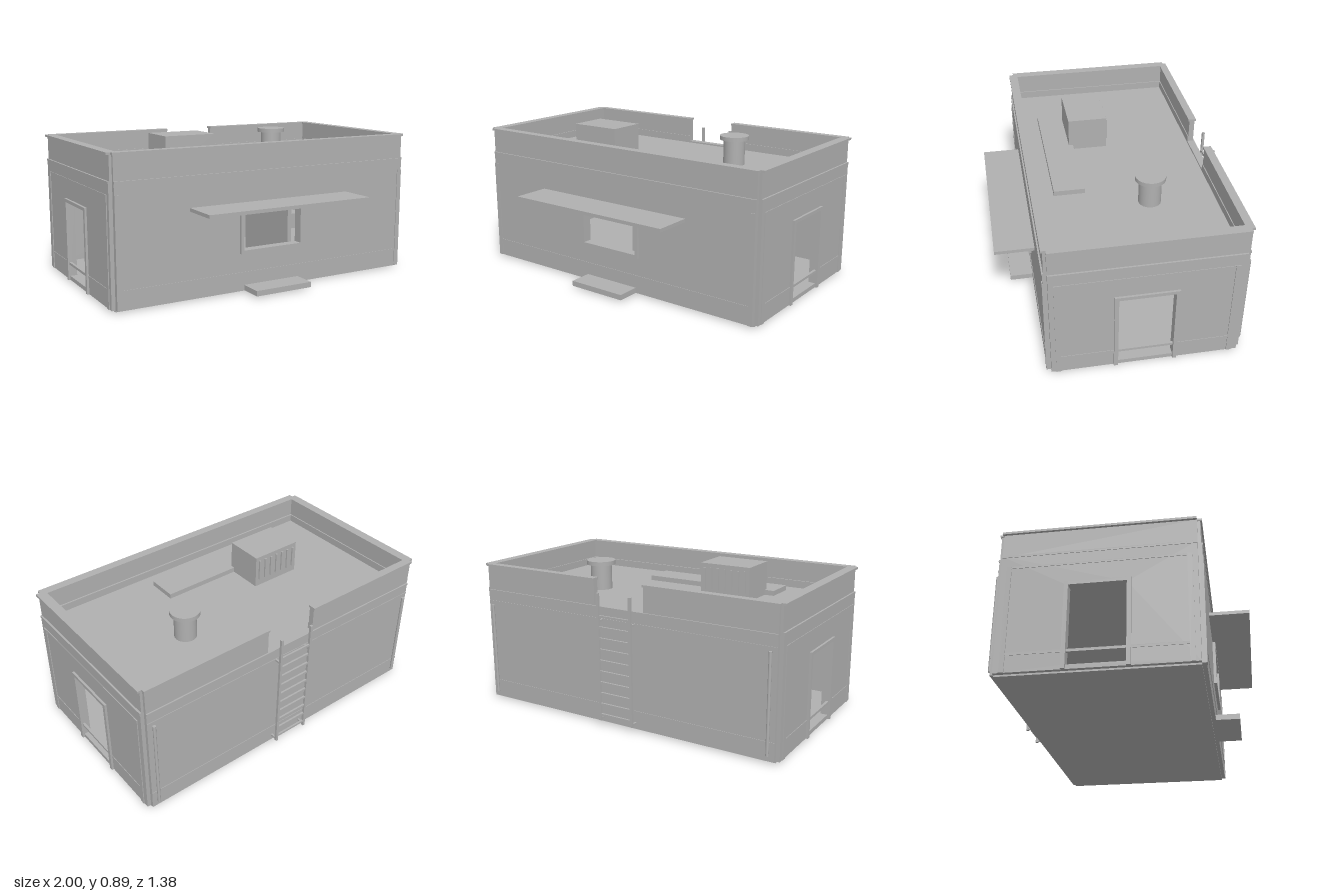
import * as THREE from 'three';

export function createModel() {
  const model = new THREE.Group();
  model.name = 'smallFlatRoofBuilding';
  const grey = new THREE.MeshStandardMaterial({ color: 0xb0b0b0 });
  grey.name = 'plain grey';

  const add = (name, geometry) => {
    const mesh = new THREE.Mesh(geometry, grey);
    mesh.name = name;
    model.add(mesh);
    return mesh;
  };
  // Box given by its limits on each axis
  const box = (name, x0, x1, y0, y1, z0, z1) => {
    const g = new THREE.BoxGeometry(x1 - x0, y1 - y0, z1 - z0);
    return add(name, g.translate((x0 + x1) / 2, (y0 + y1) / 2, (z0 + z1) / 2));
  };
  // Upright slab with a rectangular opening: limits are [u0, u1, y0, y1]
  const pierced = (outer, hole, depth) => {
    const trace = (path, [u0, u1, y0, y1]) => {
      path.moveTo(u0, y0);
      path.lineTo(u1, y0);
      path.lineTo(u1, y1);
      path.lineTo(u0, y1);
      path.closePath();
      return path;
    };
    const shape = trace(new THREE.Shape(), outer);
    shape.holes.push(trace(new THREE.Path(), hole));
    return new THREE.ExtrudeGeometry(shape, { depth, bevelEnabled: false });
  };

  // Base, floor and roof deck
  box('base', -0.965, 0.965, 0, 0.012, -0.62, 0.435);
  box('floor', -0.95, 0.95, 0.01, 0.035, -0.61, 0.425);
  box('roofDeck', -0.95, 0.95, 0.66, 0.69, -0.61, 0.425);

  // Front and back walls
  add('frontWall', pierced([-0.965, 0.965, 0.01, 0.705], [-0.195, 0.19, 0.25, 0.475], 0.042)).position.z = 0.416;
  box('backWall', -0.965, 0.965, 0.01, 0.7, -0.64, -0.6);

  // Front window frame, awning and step
  add('windowFrame', pierced([-0.215, 0.21, 0.23, 0.5], [-0.195, 0.19, 0.25, 0.475], 0.03)).position.z = 0.445;
  box('awning', -0.53, 0.53, 0.507, 0.527, 0.455, 0.685);
  box('frontStep', -0.185, 0.185, 0.01, 0.042, 0.45, 0.597);

  for (const s of [-1, 1]) {
    // Box on either side, measured outwards from the middle
    const sideBox = (name, a, b, ...rest) => box(name, Math.min(s * a, s * b), Math.max(s * a, s * b), ...rest);

    // Side wall with doorway and door frame
    const wall = add('sideWall', pierced([-0.435, 0.62, 0.01, 0.705], [-0.065, 0.245, 0.035, 0.49], 0.042));
    wall.rotation.y = Math.PI / 2;
    wall.position.x = s > 0 ? 0.945 : -0.987;
    sideBox('doorJamb', 0.975, 1, 0.01, 0.51, 0.065, 0.088);
    sideBox('doorJamb', 0.975, 1, 0.01, 0.51, -0.267, -0.245);
    sideBox('doorLintel', 0.975, 1, 0.49, 0.51, -0.245, 0.065);

    // Side trim
    sideBox('sideBaseRail', 0.975, 0.99, 0.105, 0.12, -0.56, 0.38);
    sideBox('sideTopRail', 0.98, 0.99, 0.62, 0.632, -0.56, 0.38);
    sideBox('sideBatten', 0.975, 0.992, 0.01, 0.632, 0.38, 0.408);
    sideBox('sideBatten', 0.975, 0.992, 0.01, 0.632, -0.588, -0.56);
    sideBox('sideBand', 0.97, 0.99, 0.692, 0.705, -0.62, 0.435);

    // Side parapet
    sideBox('sideParapet', 0.945, 0.98, 0.7, 0.845, -0.62, 0.435);
    sideBox('sideParapetCap', 0.937, 0.995, 0.843, 0.856, -0.625, 0.435);
    sideBox('sideSkirting', 0.938, 0.95, 0.685, 0.735, -0.605, 0.415);

    // Back parapet on each side of the ladder gap
    sideBox('backParapet', 0.165, 0.965, 0.695, 0.845, -0.637, -0.605);
    sideBox('backParapetCap', 0.163, 0.97, 0.843, 0.856, -0.645, -0.598);
    sideBox('backSkirting', 0.165, 0.95, 0.685, 0.735, -0.61, -0.6);

    // Corner battens and rear drainpipes
    sideBox('frontCornerBatten', 0.935, 0.965, 0.01, 0.632, 0.45, 0.462);
    const pipe = add('drainpipe', new THREE.CylinderGeometry(0.009, 0.009, 0.565, 12));
    pipe.position.set(s * 0.93, 0.328, -0.653);

    // Ladder rails and wall brackets
    sideBox('ladderRail', 0.1, 0.115, 0.035, 0.787, -0.69, -0.675);
    for (const y of [0.045, 0.625]) {
      sideBox('ladderBracket', 0.102, 0.113, y - 0.006, y + 0.006, -0.68, -0.635);
    }
  }

  // Ladder rungs
  for (let i = 0; i < 10; i++) {
    const y = 0.07 + i * 0.065;
    box('ladderRung', -0.105, 0.105, y - 0.006, y + 0.006, -0.688, -0.677);
  }

  // Front parapet and bands on the long walls
  box('frontParapet', -0.965, 0.965, 0.7, 0.845, 0.415, 0.452);
  box('frontParapetCap', -0.97, 0.97, 0.843, 0.856, 0.407, 0.461);
  box('frontSkirting', -0.95, 0.95, 0.685, 0.735, 0.405, 0.42);
  box('frontBand', -0.965, 0.965, 0.692, 0.705, 0.445, 0.461);
  box('backBand', -0.965, 0.965, 0.688, 0.7, -0.645, -0.63);
  box('frontBaseRail', -0.935, 0.935, 0.105, 0.12, 0.45, 0.461);
  box('backBaseRail', -0.965, 0.965, 0.105, 0.12, -0.643, -0.63);
  box('backTopRail', -0.965, 0.965, 0.622, 0.632, -0.643, -0.63);

  // Interior partition, counter and cabinet
  box('partition', 0.135, 0.16, 0.035, 0.66, -0.07, 0.42);
  box('counterTop', 0.16, 0.55, 0.235, 0.25, -0.068, 0.42);
  box('counterCabinet', 0.2, 0.5, 0.035, 0.235, -0.055, 0.0);
  box('counterBox', 0.22, 0.45, 0.25, 0.345, -0.052, 0.12);

  // Roof equipment: cooling unit with vent slats, duct and vent pipe
  box('coolingUnit', -0.53, -0.21, 0.685, 0.89, -0.082, 0.155);
  for (let i = 0; i < 7; i++) {
    const x = -0.502 + i * 0.044;
    box('ventSlat', x - 0.006, x + 0.006, 0.735, 0.865, -0.092, -0.08);
  }
  box('roofDuct', -0.59, 0.28, 0.685, 0.72, 0.13, 0.312);
  add('ventPipe', new THREE.CylinderGeometry(0.065, 0.065, 0.17, 24)).position.set(0.42, 0.765, -0.22);
  add('ventPipeCap', new THREE.CylinderGeometry(0.088, 0.088, 0.025, 24)).position.set(0.42, 0.855, -0.22);

  return model;
}
